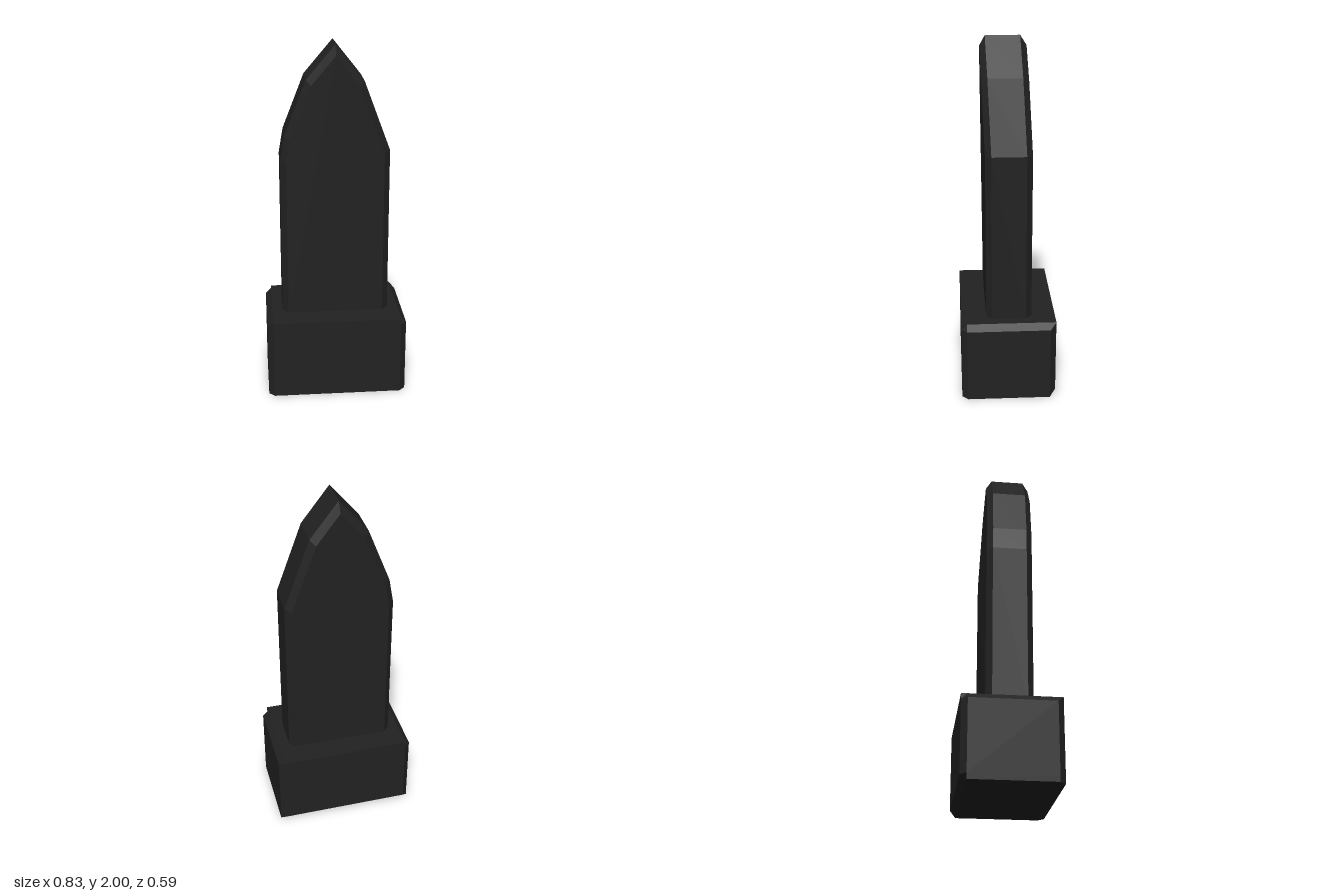
import * as THREE from 'three';

// Skin a stack of matching loops (counter-clockwise seen from the stacking end) and cap both ends.
function loft(loops) {
  const pos = [];
  const tri = (a, b, c) => pos.push(...a, ...b, ...c);
  const n = loops[0].length;
  for (let k = 0; k < loops.length - 1; k++) {
    const lo = loops[k], hi = loops[k + 1];
    for (let i = 0; i < n; i++) {
      const j = (i + 1) % n;
      tri(lo[i], lo[j], hi[j]);
      tri(lo[i], hi[j], hi[i]);
    }
  }
  const first = loops[0], last = loops[loops.length - 1];
  for (let i = 1; i < n - 1; i++) {
    tri(first[0], first[i + 1], first[i]);
    tri(last[0], last[i], last[i + 1]);
  }
  const g = new THREE.BufferGeometry();
  g.setAttribute('position', new THREE.Float32BufferAttribute(pos, 3));
  g.computeVertexNormals();
  return g;
}

export function createModel() {
  const group = new THREE.Group();
  group.name = 'pointedMarker';
  const stone = new THREE.MeshStandardMaterial({ color: 0x222222 });
  stone.name = 'blackStone';

  // Base block: bevelled upright corners, top ends and lower back edge
  const W = 0.396, D = 0.266, c = 0.033;
  const octagon = [
    [W, D - c], [W, c - D], [W - c, -D], [c - W, -D],
    [-W, c - D], [-W, D - c], [c - W, D], [W - c, D],
  ];
  const clampX = (x) => Math.max(c - W, Math.min(W - c, x));
  const base = new THREE.Mesh(loft([
    octagon.map(([x, z]) => [x, 0, Math.max(z, c - D)]),
    octagon.map(([x, z]) => [x, c, z]),
    octagon.map(([x, z]) => [x, 0.46 - c, z]),
    octagon.map(([x, z]) => [clampX(x), 0.46, z]),
  ]), stone);
  base.name = 'base';
  group.add(base);

  // Upright slab: arched outline with a worn left shoulder, bevelled faces, tip leaning forward
  const outer = [
    [-0.304, 0.45], [0.304, 0.45], [0.304, 1.41], [0.158, 1.8],
    [0, 2], [-0.16, 1.81], [-0.28, 1.5], [-0.304, 1.36],
  ];
  const inner = [
    [-0.271, 0.45], [0.271, 0.45], [0.271, 1.4], [0.13, 1.777],
    [0, 1.944], [-0.132, 1.785], [-0.25, 1.485], [-0.271, 1.36],
  ];
  const lean = (y) => 0.02 * Math.max(0, (y - 1.4) / 0.6);
  const slice = (outline, z) => outline.map(([x, y]) => [x, y, z + lean(y)]);
  const slab = new THREE.Mesh(loft([
    slice(inner, -0.133), slice(outer, -0.1), slice(outer, 0.09), slice(inner, 0.123),
  ]), stone);
  slab.name = 'slab';
  group.add(slab);

  // The whole piece stands slightly turned
  group.rotation.y = 0.083;
  return group;
}
